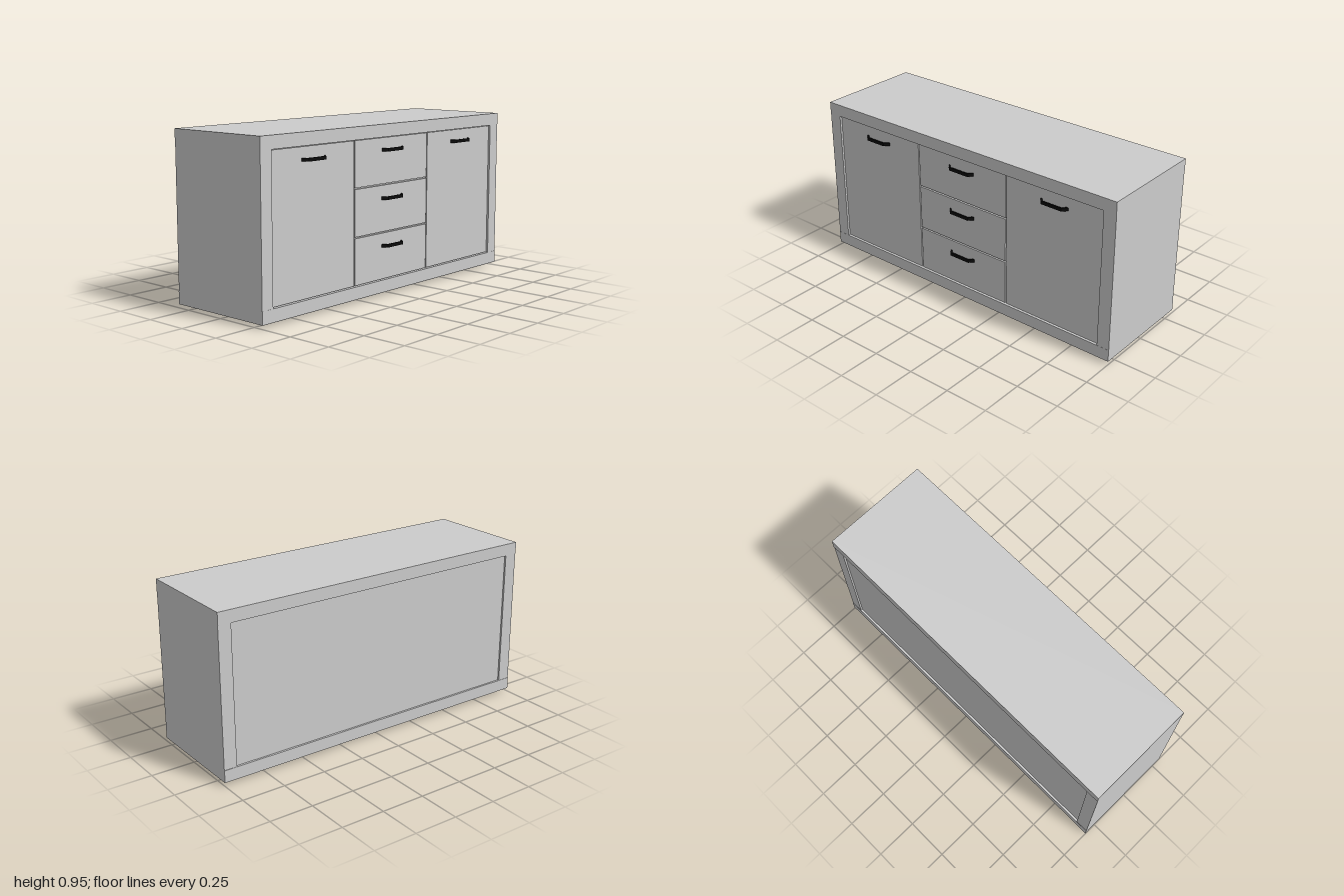
import * as THREE from 'three';

export function createModel() {
  const model = new THREE.Group();
  model.name = 'sideboard';
  const grey = new THREE.MeshStandardMaterial({ color: 0xcccccc });
  const black = new THREE.MeshStandardMaterial({ color: 0x0a0a0a });

  const add = (name, geometry, material = grey) => {
    const mesh = new THREE.Mesh(geometry, material);
    mesh.name = name;
    model.add(mesh);
    return mesh;
  };
  // Box given by its low and high corner on each axis
  const box = (name, x0, x1, y0, y1, z0, z1) =>
    add(name, new THREE.BoxGeometry(x1 - x0, y1 - y0, z1 - z0))
      .position.set((x0 + x1) / 2, (y0 + y1) / 2, (z0 + z1) / 2);

  const back = -0.327, front = 0.31;
  const bottom = 0.09, top = 0.88;

  // Outer frame: thick top, base and sides
  box('topBoard', -1, 1, top, 0.95, back, front);
  box('baseBoard', -1, 1, 0.02, bottom, back, front);
  for (const [name, s] of [['leftSide', 1], ['rightSide', -1]]) {
    box(name, Math.min(s, s * 0.925), Math.max(s, s * 0.925), bottom, top, back + 0.002, front - 0.001);
  }

  // Inner carcass, its rear face forming the recessed back panel
  box('carcass', -0.925, 0.925, bottom, top, back + 0.012, 0.285);

  // Doors and drawer fronts, set slightly back with narrow gaps
  const face = 0.3;
  const lo = bottom + 0.004, hi = top - 0.004;
  box('rightDoor', -0.921, -0.313, lo, hi, 0.28, face);
  box('leftDoor', 0.313, 0.921, lo, hi, 0.28, face);
  const seams = [lo - 0.004, 0.355, 0.62, hi + 0.004];
  for (let i = 0; i < 3; i++) {
    box('drawerFront', -0.306, 0.306, seams[i] + 0.004, seams[i + 1] - 0.004, 0.28, face);
  }

  // Bent flat-bar handle: outline in plan, extruded upwards
  const plan = [
    [-0.088, 0], [-0.064, 0.028], [0.064, 0.028], [0.088, 0],
    [0.076, 0], [0.059, 0.019], [-0.059, 0.019], [-0.076, 0],
  ].map(([x, z]) => new THREE.Vector2(x, -z));
  const handleGeometry = new THREE.ExtrudeGeometry(new THREE.Shape(plan), { depth: 0.018, bevelEnabled: false });
  handleGeometry.rotateX(-Math.PI / 2).translate(0, -0.009, 0);
  const handles = [[-0.622, 0.81], [0.622, 0.81], [0, 0.81], [0, 0.545], [0, 0.28]];
  for (const [x, y] of handles) {
    add('handle', handleGeometry, black).position.set(x, y, face);
  }

  // Low round feet
  const footGeometry = new THREE.CylinderGeometry(0.03, 0.03, 0.02, 24);
  for (const x of [-0.883, 0.883]) {
    for (const z of [0.19, -0.213]) {
      add('foot', footGeometry).position.set(x, 0.01, z);
    }
  }

  return model;
}
